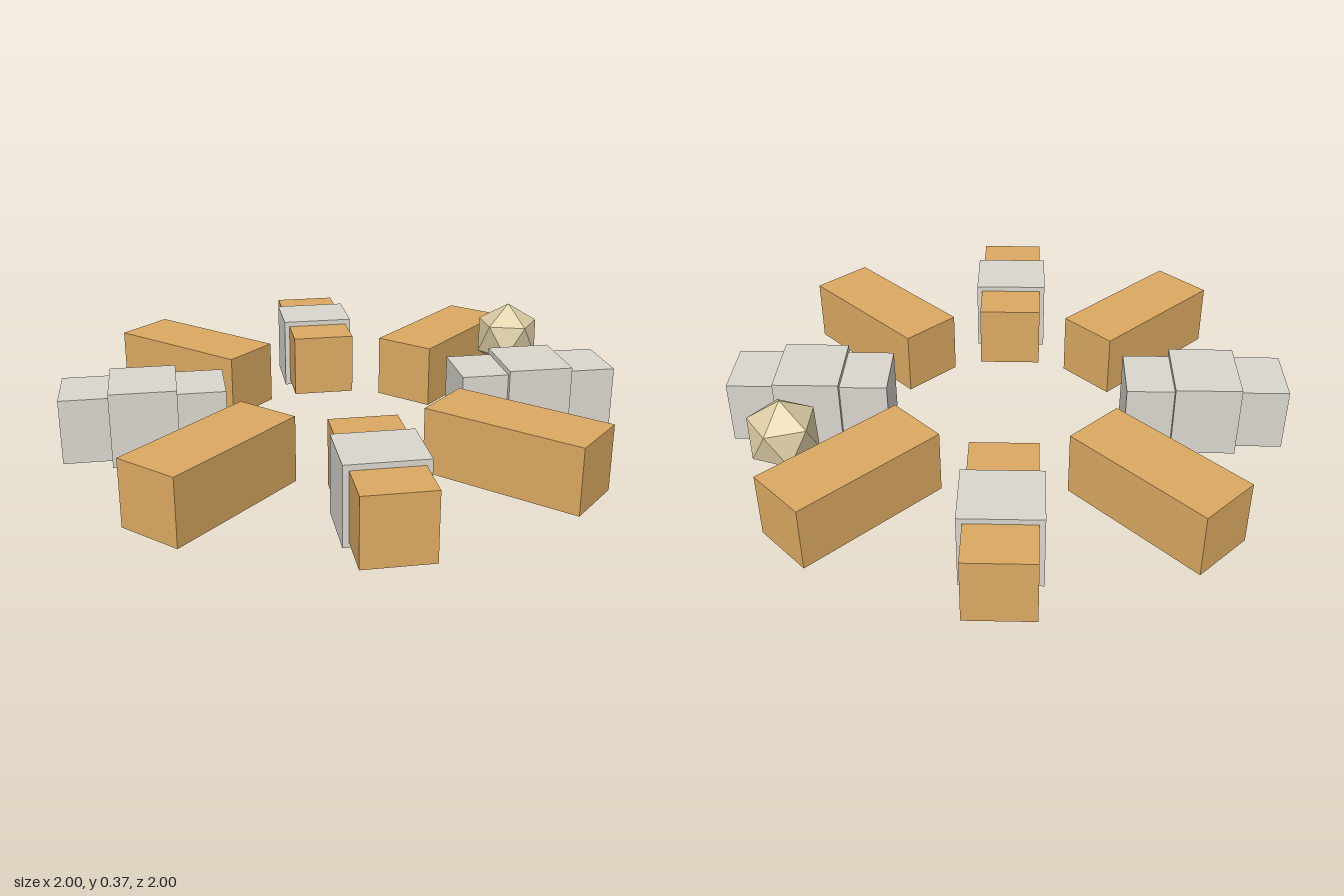
import * as THREE from 'three';
import { ConvexGeometry } from 'three/addons/geometries/ConvexGeometry.js';

const material = (name, color) => {
  const m = new THREE.MeshStandardMaterial({ color, flatShading: true });
  m.name = name;
  return m;
};

export function createModel() {
  const group = new THREE.Group();
  const wood = material('tan wood', 0xdcaa62);
  const grey = material('pale grey', 0xdad7cf);
  const sand = material('sand stone', 0xdccda4);

  const midY = 0.137; // shared height of all block centres
  const radius = 0.713; // ring radius to the block centres
  const barGeometry = new THREE.BoxGeometry(0.234, 0.234, 0.574);
  const sleeveGeometry = new THREE.BoxGeometry(0.273, 0.273, 0.235);

  const add = (parent, name, geometry, mat) => {
    const mesh = new THREE.Mesh(geometry, mat);
    mesh.name = name;
    parent.add(mesh);
    return mesh;
  };

  // Ring of eight radial bars; those on the axes wear a sleeve
  for (let i = 0; i < 8; i++) {
    const angle = (i * Math.PI) / 4;
    const spoke = new THREE.Group();
    spoke.name = `spoke${i + 1}`;
    spoke.position.set(Math.sin(angle) * radius, midY, Math.cos(angle) * radius);
    spoke.rotation.y = angle;
    add(spoke, 'bar', barGeometry, i % 4 === 2 ? grey : wood);
    if (i % 2 === 0) add(spoke, 'sleeve', sleeveGeometry, grey);
    group.add(spoke);
  }

  // Faceted stone: an icosahedron standing on one of its corners
  const r = 0.132;
  const ringY = r / Math.sqrt(5);
  const points = [new THREE.Vector3(0, r, 0), new THREE.Vector3(0, -r, 0)];
  for (let i = 0; i < 5; i++) {
    const a = (i * Math.PI * 2) / 5;
    const p = new THREE.Vector3(Math.cos(a) * ringY * 2, ringY, Math.sin(a) * ringY * 2);
    points.push(p, p.clone().negate());
  }
  add(group, 'stone', new ConvexGeometry(points), sand).position.set(0.745, 0.243, -0.374);

  return group;
}
